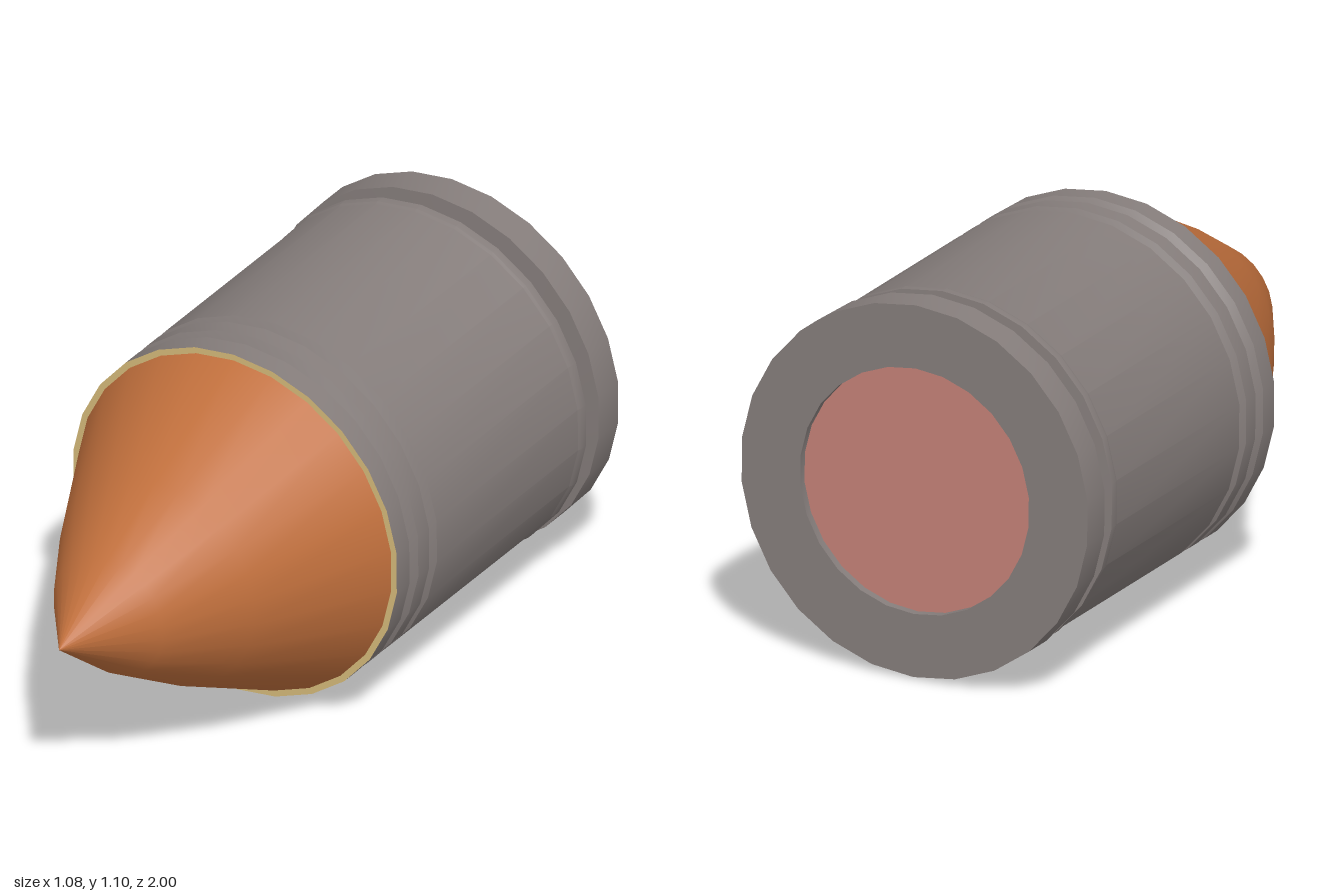
import * as THREE from 'three';
import { toCreasedNormals } from 'three/addons/utils/BufferGeometryUtils.js';

const SIDES = 26;

// Turned shape along z from [radius, z] pairs, listed from back to front
function turned(profile) {
  const points = profile.map(([r, z]) => new THREE.Vector2(r, z));
  return new THREE.LatheGeometry(points, SIDES).rotateX(Math.PI / 2);
}

function material(name, color) {
  const m = new THREE.MeshStandardMaterial({ color });
  m.name = name;
  return m;
}

export function createModel() {
  const steel = material('steel grey', 0x857d7b);
  const copper = material('copper orange', 0xc06f3c);
  const brass = material('pale brass', 0xd8bc7c);
  const primerRed = material('primer red', 0xc48177);

  const model = new THREE.Group();
  model.name = 'cartridge';
  const round = new THREE.Group();
  round.name = 'round';
  model.add(round);

  const add = (name, geometry, mat) => {
    const mesh = new THREE.Mesh(geometry, mat);
    mesh.name = name;
    round.add(mesh);
  };

  // Casing: primer pocket, base rim, extraction groove, body, two crimp grooves, mouth
  add('casing', toCreasedNormals(turned([
    [0.36, -0.965], [0.36, -0.99], [0.545, -0.99], [0.545, -0.89],
    [0.475, -0.885], [0.475, -0.84],
    [0.539, -0.835], [0.539, -0.81], [0.535, -0.80],
    [0.535, -0.08], [0.51, -0.065], [0.51, -0.055],
    [0.535, -0.04], [0.535, 0.015], [0.51, 0.03], [0.51, 0.04],
    [0.535, 0.06], [0.535, 0.125],
  ]), 0.4), steel);

  // Recessed primer and the thin mouth edge
  add('primer', turned([[0, -0.965], [0.36, -0.965]]), primerRed);
  add('mouthEdge', turned([[0.535, 0.125], [0.515, 0.125]]), brass);

  // Pointed nose, its tip bent slightly off the axis
  const nose = turned([[0.519, 0.12], [0.32, 0.52], [0.18, 0.76], [0, 1]]);
  const p = nose.attributes.position;
  for (let i = 0; i < p.count; i++) {
    const t = ((p.getZ(i) - 0.12) / 0.88) ** 2;
    p.setXY(i, p.getX(i) - 0.015 * t, p.getY(i) + 0.018 * t);
  }
  add('nose', nose, copper);

  // Lies with a very slight forward tilt
  round.rotation.x = 0.014;
  round.position.y = 0.538;
  return model;
}
